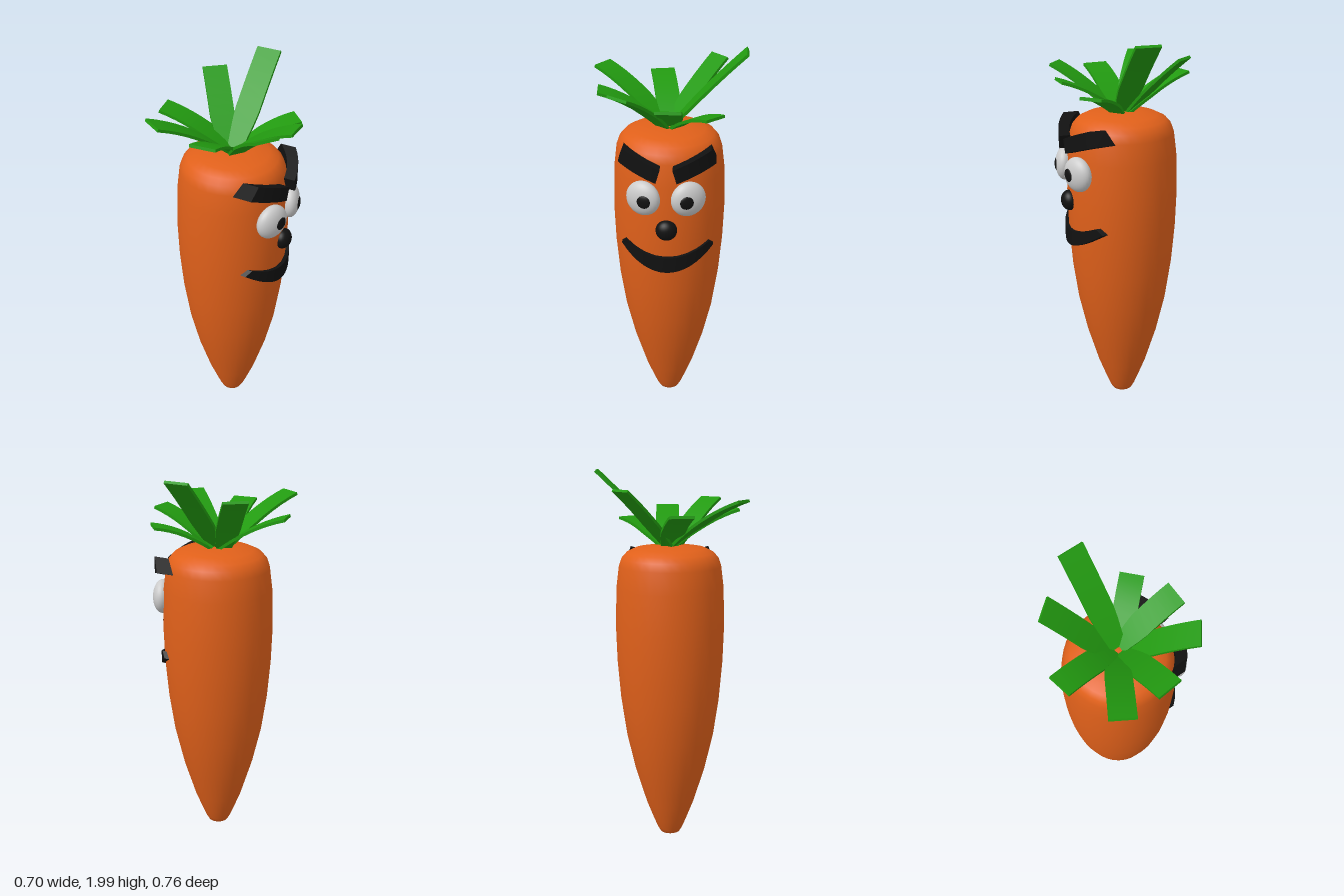
import * as THREE from 'three';

const CX = 0.015; // body axis
const CZ = -0.004;

const orange = new THREE.MeshStandardMaterial({ color: 0xe0601a });
const green = new THREE.MeshStandardMaterial({ color: 0x229a10 });
const black = new THREE.MeshStandardMaterial({ color: 0x111111 });
const white = new THREE.MeshStandardMaterial({ color: 0xcccccc });

// Box whose vertices (each coordinate in -0.5..0.5) are moved by a rule
function shapedBox(segments, rule) {
  const geo = new THREE.BoxGeometry(1, 1, 1, segments, 1, 1);
  const pos = geo.attributes.position;
  for (let i = 0; i < pos.count; i++) {
    const p = rule(pos.getX(i), pos.getY(i), pos.getZ(i));
    pos.setXYZ(i, p.x, p.y, p.z);
  }
  geo.computeVertexNormals();
  return geo;
}

// Band wrapped around the body; edge(t, top) gives [z, y] for t in -1..1
function wrappedBand(name, inner, outer, edge) {
  const geo = shapedBox(16, (x, y, w) => {
    const [z, h] = edge(-2 * x, y > 0);
    const r = w > 0 ? outer : inner;
    return new THREE.Vector3(CX + Math.sqrt(r * r - z * z), h, z + CZ);
  });
  const mesh = new THREE.Mesh(geo, black);
  mesh.name = name;
  return mesh;
}

// Arched strip from the crown to its tip
function leaf(base, tip, arch, width) {
  const a = new THREE.Vector3(base[0], 1.605, base[1]);
  const b = new THREE.Vector3(...tip);
  const mid = a.clone().lerp(b, 0.5);
  mid.y = a.y + (b.y - a.y) * arch;
  const path = new THREE.QuadraticBezierCurve3(a, mid, b);
  const side = new THREE.Vector3(-(b.z - a.z), 0, b.x - a.x).normalize();
  const geo = shapedBox(8, (x, y, z) => {
    const t = x + 0.5;
    const normal = side.clone().cross(path.getTangent(t));
    const w = width * (0.6 + 0.4 * Math.min(1, t * 3));
    return path.getPoint(t)
      .addScaledVector(side, z * w)
      .addScaledVector(normal, y * 0.014 - 0.012 * (1 - 4 * z * z));
  });
  const mesh = new THREE.Mesh(geo, green);
  mesh.name = 'leaf';
  return mesh;
}

// Flattened ball facing outward (thin along its own x)
function flatBall(name, material, depth, radius, position, turn) {
  const mesh = new THREE.Mesh(new THREE.SphereGeometry(1, 28, 20), material);
  mesh.name = name;
  mesh.scale.set(depth, radius, radius);
  mesh.position.set(...position);
  mesh.rotation.y = turn;
  return mesh;
}

export function createModel() {
  const model = new THREE.Group();
  model.name = 'carrot';

  // Tapered root
  const profile = [
    [0, 0.006], [0.035, 0.008], [0.055, 0.018], [0.07, 0.045], [0.092, 0.1], [0.13, 0.2],
    [0.19, 0.4], [0.235, 0.6], [0.263, 0.8], [0.279, 1.0], [0.285, 1.2], [0.278, 1.4],
    [0.264, 1.51], [0.25, 1.55], [0.225, 1.578], [0.18, 1.6], [0.1, 1.613], [0, 1.618],
  ].map(([r, y]) => new THREE.Vector2(r, y));
  const body = new THREE.Mesh(new THREE.LatheGeometry(profile, 32), orange);
  body.name = 'body';
  body.position.set(CX, 0, CZ);
  model.add(body);

  // Leaves: base [x, z], tip [x, y, z], arch, width
  const leaves = new THREE.Group();
  leaves.name = 'leaves';
  [
    [[0.02, -0.01], [0.025, 1.988, -0.375], 0.56, 0.126],
    [[0.04, -0.03], [0.254, 1.735, -0.23], 0.85, 0.115],
    [[0.02, -0.015], [0.343, 1.79, -0.013], 0.75, 0.122],
    [[0.04, 0.02], [0.295, 1.835, 0.222], 0.68, 0.125],
    [[0.01, 0.01], [0.039, 1.795, 0.341], 0.75, 0.128],
    [[-0.01, 0.01], [-0.216, 1.85, 0.347], 0.72, 0.124],
    [[0.0, -0.015], [-0.338, 1.785, 0.048], 0.75, 0.122],
    [[-0.02, -0.01], [-0.212, 1.9, -0.247], 0.58, 0.122],
  ].forEach((spec) => leaves.add(leaf(...spec)));
  model.add(leaves);

  // Eyes, pupils and brows, mirrored
  for (const s of [1, -1]) {
    const label = s > 0 ? 'right' : 'left';
    model.add(flatBall(label + 'Eye', white, 0.049, 0.088, [0.285, 1.34, s * 0.109], -s * 0.4));
    model.add(flatBall(label + 'Pupil', black, 0.012, 0.035, [0.33, 1.34, s * 0.104], -s * 0.27));
    model.add(wrappedBand(label + 'Brow', 0.265, 0.32, (t, top) => {
      const k = s * t * 0.5 + 0.5; // 0 at the nose side, 1 at the outer side
      return top
        ? [s * (0.03 + 0.18 * k), 1.506 + 0.074 * k]
        : [s * (0.05 + 0.186 * k), 1.437 + 0.069 * k];
    }));
  }

  // Nose
  model.add(flatBall('nose', black, 0.043, 0.053, [0.3, 1.175, CZ], 0));

  // Smile
  model.add(wrappedBand('mouth', 0.262, 0.298, (t, top) => (top
    ? [0.206 * t, 1.023 + 0.057 * t * t]
    : [0.23 * t, 0.94 + 0.11 * t * t])));

  return model;
}
